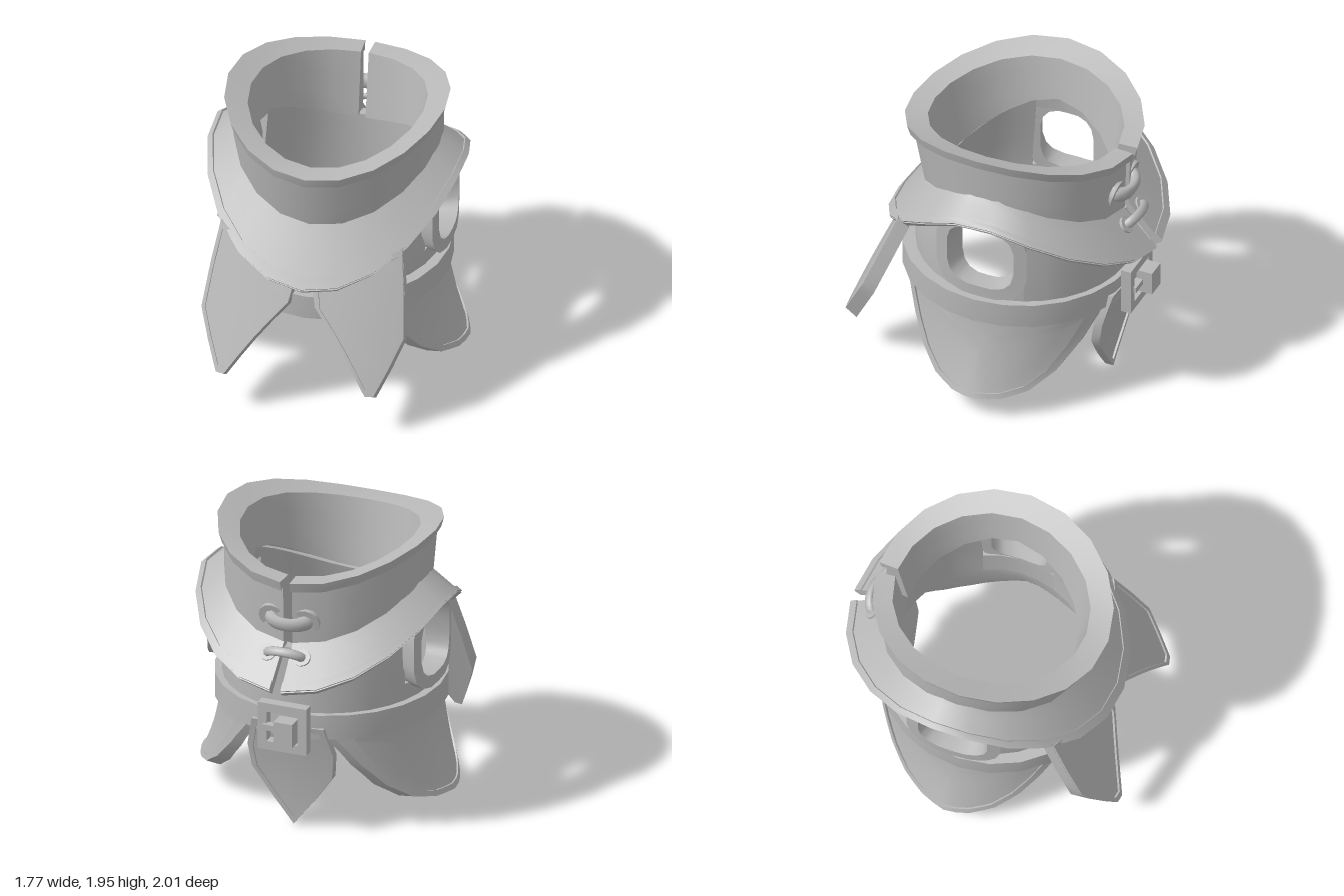
import * as THREE from 'three';
import { toCreasedNormals } from 'three/addons/utils/BufferGeometryUtils.js';

const { lerp } = THREE.MathUtils;
const grey = new THREE.MeshStandardMaterial({ color: 0xb8b8b8 });
grey.name = 'plain grey';

// Solid sheet between an inner (w = 0) and outer (w = 1) surface f(u, v, w)
function shell(f, nu, nv, closed = false) {
  const pos = [];
  const tri = (a, b, c) => {
    const n = b.clone().sub(a).cross(c.clone().sub(a));
    if (n.length() > 1e-9) pos.push(...a.toArray(), ...b.toArray(), ...c.toArray());
  };
  const quad = (a, b, c, d) => { tri(a, b, c); tri(a, c, d); };
  const P = (i, j, w) => new THREE.Vector3(...f(i / nu, j / nv, w));
  for (let i = 0; i < nu; i++) {
    for (let j = 0; j < nv; j++) {
      quad(P(i, j, 1), P(i + 1, j, 1), P(i + 1, j + 1, 1), P(i, j + 1, 1));
      quad(P(i, j, 0), P(i, j + 1, 0), P(i + 1, j + 1, 0), P(i + 1, j, 0));
    }
    quad(P(i, 0, 0), P(i + 1, 0, 0), P(i + 1, 0, 1), P(i, 0, 1));
    quad(P(i, nv, 1), P(i + 1, nv, 1), P(i + 1, nv, 0), P(i, nv, 0));
  }
  if (!closed) {
    for (let j = 0; j < nv; j++) {
      quad(P(0, j, 0), P(0, j, 1), P(0, j + 1, 1), P(0, j + 1, 0));
      quad(P(nu, j, 1), P(nu, j, 0), P(nu, j + 1, 0), P(nu, j + 1, 1));
    }
  }
  // Turn the whole solid outward if it came out inside-out
  let volume = 0;
  const at = k => new THREE.Vector3().fromArray(pos, k);
  for (let k = 0; k < pos.length; k += 9) volume += at(k).dot(at(k + 3).cross(at(k + 6)));
  if (volume < 0) {
    for (let k = 0; k < pos.length; k += 9) {
      for (let c = 0; c < 3; c++) [pos[k + c], pos[k + 3 + c]] = [pos[k + 3 + c], pos[k + c]];
    }
  }
  const geo = new THREE.BufferGeometry();
  geo.setAttribute('position', new THREE.Float32BufferAttribute(pos, 3));
  return toCreasedNormals(geo, 0.6);
}

// Ring of a star-shaped outline, scaled from s0 to s1 about a centre, laid on map(a, b, w)
function panel(outline, centre, s0, s1, steps, map) {
  const n = outline.length;
  return shell((u, v, w) => {
    const t = u * n, i = Math.floor(t + 1e-6), k = t - i;
    const p = outline[i % n], q = outline[(i + 1) % n], s = lerp(s0, s1, v);
    return map(lerp(centre[0], lerp(p[0], q[0], k), s), lerp(centre[1], lerp(p[1], q[1], k), s), w);
  }, n * 2, steps, true);
}

// Oval ring point: half width, front z, back z; angle 0 faces front
const oval = (a, halfX, front, back, y) =>
  [halfX * Math.sin(a), y, (front + back) / 2 + (front - back) / 2 * Math.cos(a)];
const mix = (p, q, t) => p.map((c, i) => lerp(c, q[i], t));
const drop = (a, front, back, power) =>
  (Math.cos(a) > 0 ? front : back) * Math.abs(Math.cos(a)) ** power;

const baseY = a => 1.63 - drop(a, 0.3, 0.29, 1.6);
const topY = a => 1.95 - drop(a, 0.18, 0.16, 2);
const innerTopY = a => topY(a) - 0.06 * Math.sin(a) ** 2;
const hemY = a => 1.515 - drop(a, 0.56, 0.435, 1.5);
const slit = u => Math.PI + 0.045 + u * (2 * Math.PI - 0.09); // leaves the back open

export function createModel() {
  const root = new THREE.Group();
  const add = (name, geo, parent = root) => {
    const m = new THREE.Mesh(geo, grey);
    m.name = name;
    parent.add(m);
    return m;
  };

  // Stand-up collar with a lip sloping inward at the sides
  const collar = (a, v, w) => w
    ? mix(oval(a, 0.68, 0.62, -0.77, baseY(a)), oval(a, 0.69, 0.7, -0.78, topY(a) - 0.05), v)
    : mix(oval(a, 0.52, 0.52, -0.63, baseY(a) - 0.02), oval(a, 0.58, 0.6, -0.7, innerTopY(a)), v);
  add('collar', shell((u, v, w) => collar(slit(u), v, w), 20, 3));
  add('collarLip', shell((u, v, w) => {
    const a = slit(u);
    return w ? oval(a, 0.71 + 0.02 * v, 0.73 + 0.02 * v, -0.81 - 0.02 * v, topY(a) - 0.07 * (1 - v))
      : oval(a, 0.58 + 0.08 * (1 - v), 0.6 + 0.07 * (1 - v), -0.7 - 0.05 * (1 - v),
        innerTopY(a) - 0.03 * (1 - v));
  }, 20, 1));

  // Sloping mantle and its raised hem
  const mantle = (a, v, lift, pull) => {
    const p = mix(oval(a, 0.66, 0.6, -0.75, baseY(a) + 0.012), oval(a, 0.85, 0.855, -1, hemY(a)), v);
    return [p[0] * pull, p[1] + lift, p[2] * pull];
  };
  add('mantle', shell((u, v, w) => mantle(slit(u), v, w ? 0 : -0.035, w ? 1 : 0.955), 22, 3));
  add('mantleHem', shell((u, v, w) =>
    mantle(slit(u), lerp(0.83, 1, v), w ? 0.015 : -0.03, w ? 1.003 : 0.96), 22, 1));

  // Body with openings for the arms
  const body = (name, a0, a1, lo, hi, n) => add(name, shell((u, v, w) => {
    const a = lerp(a0, a1, u), top = baseY(a) - 0.04, y = lerp(lo, hi ?? top, v);
    const k = Math.max(0, (y - 1) / (top - 1)), t = 0.07 * (1 - w);
    return oval(a, lerp(0.7, 0.66, k) - t, lerp(0.67, 0.6, k) - t, -0.76 + t, y);
  }, n, 5));
  body('bodyFront', -1.22, 1.22, 0.7, null, 12);
  body('bodyBack', 1.98, 2 * Math.PI - 1.98, 0.7, null, 12);

  // Belt
  add('belt', shell((u, v, w) => {
    const t = 0.1 * (1 - w);
    return oval(u * 2 * Math.PI, 0.76 - t, 0.76 - t, -0.8 + t, lerp(0.68, 0.85, v));
  }, 24, 1, true));

  // Paired parts
  const armOutline = [];
  const skirtOutline = [[0.52, 0.76], [0.2, 0.76], [-0.08, 0.76], [-0.4, 0.76], [-0.68, 0.76]];
  const bow = t => Math.sign(t) * Math.abs(t) ** 0.62;
  for (let i = 0; i < 16; i++) {
    const a = (i + 0.5) / 16 * 2 * Math.PI;
    armOutline.push([-0.065 + 0.325 * bow(Math.cos(a)), 1.2 + 0.305 * bow(Math.sin(a))]);
  }
  for (let i = 0; i <= 12; i++) {
    const s = -Math.cos(i / 12 * Math.PI);
    skirtOutline.push([-0.08 + 0.64 * s, 0.68 - 0.53 * (1 - Math.abs(s) ** 3.3)]);
  }
  const lapelOutline = [[0.06, 0.98], [0.33, 1.08], [0.61, 1.22], [0.65, 0.95], [0.68, 0.67],
    [0.61, 0.49], [0.53, 0.31], [0.475, 0.31], [0.39, 0.44], [0.3, 0.57], [0.2, 0.7], [0.09, 0.83]];

  for (const [side, s] of [['left', 1], ['right', -1]]) {
    const aRange = s > 0 ? [1.22, 1.98] : [-1.98, -1.22];
    body(side + 'UnderArm', ...aRange, 0.7, 0.965, 4);
    body(side + 'Shoulder', ...aRange, 1.46, null, 4);

    // Thick frame whose opening narrows inward
    add(side + 'ArmholeFrame', panel(armOutline, [-0.065, 1.2], 1, 0.74, 1, (z, y, w) => {
      const d = z + 0.065;
      return [s * (0.77 - 0.45 * d * d - 0.14 * (1 - w)), y, -0.065 + d * (0.8 + 0.2 * w)];
    }));

    // Side skirt flaring to a ridge in the middle
    const skirt = rim => (z, y, w) => {
      const k = Math.max(0, (0.7 - y) / 0.55), e = Math.abs(z + 0.06) / 0.66;
      const x = 0.72 * Math.sqrt(1 - ((z + 0.02) / 0.77) ** 2) + 0.16 * k ** 1.5 * (1 - 0.75 * e);
      return [s * (x + (w ? rim : -0.05 - 0.04 * k)), y - 0.012 * k * (1 - w), z];
    };
    add(side + 'Skirt', panel(skirtOutline, [-0.08, 0.5], 1, 0, 4, skirt(0)));
    add(side + 'SkirtRim', panel(skirtOutline, [-0.08, 0.5], 1, 0.9, 1, skirt(0.012)));

    // Pointed front lapel, its thickness square to the slope
    const lapel = rim => (x, y, w) => [s * x, y - 0.055 * (1 - w),
      0.86 - 0.21 * x * x + 0.43 * (0.75 - y) + (w ? rim : -0.075)];
    add(side + 'Lapel', panel(lapelOutline, [0.43, 0.74], 1, 0, 3, lapel(-0.014)));
    add(side + 'LapelRim', panel(lapelOutline, [0.43, 0.74], 1, 0.9, 1, lapel(0.003)));
  }

  // Pointed back flap
  const flapOutline = [[0, 0], [0.14, 0.18], [0.28, 0.38], [0.3, 0.55], [0.25, 0.76], [0, 0.76],
    [-0.25, 0.76], [-0.3, 0.55], [-0.28, 0.38], [-0.14, 0.18]];
  const flap = rim => (x, y, w) =>
    [x, y, -0.66 - 0.12 * (y / 0.76) ** 1.6 + 0.15 * x * x + (w ? -rim : 0.045)];
  add('backFlap', panel(flapOutline, [0, 0.42], 1, 0, 3, flap(0)));
  add('backFlapRim', panel(flapOutline, [0, 0.42], 1, 0.88, 1, flap(0.014)));

  // Buckle with belt end and prong
  const buckle = new THREE.Group();
  buckle.name = 'buckle';
  buckle.position.set(0, 0.765, -0.84);
  root.add(buckle);
  const box = (name, w, h, d, x, y, z) =>
    add(name, new THREE.BoxGeometry(w, h, d), buckle).position.set(x, y, z);
  for (const k of [-1, 1]) {
    box('buckleBar', 0.34, 0.06, 0.07, 0, k * 0.135, 0);
    box('buckleSide', 0.06, 0.33, 0.07, k * 0.14, 0, 0);
  }
  box('beltEnd', 0.13, 0.165, 0.11, -0.04, 0, -0.065);
  box('prong', 0.14, 0.04, 0.05, 0.06, 0, -0.03);

  // Loops bridging the back opening
  const loop = (name, y, z, tilt, radius, tube) => {
    const g = new THREE.Group();
    g.name = name;
    g.position.set(0, y, z);
    g.rotation.x = tilt;
    root.add(g);
    const arc = new THREE.TorusGeometry(radius, tube, 8, 12, Math.PI);
    arc.scale(1, 0.6, 1);
    arc.rotateX(-Math.PI / 2);
    add('loopArc', arc, g);
    for (const k of [-1, 1]) {
      const eyelet = new THREE.CylinderGeometry(tube * 1.8, tube * 1.8, 0.03, 12);
      eyelet.rotateX(Math.PI / 2);
      add('eyelet', toCreasedNormals(eyelet, 0.6), g).position.set(k * radius, 0, 0);
    }
  };
  loop('collarLoop', 1.5, -0.74, -0.25, 0.12, 0.052);
  loop('mantleLoop', 1.27, -0.82, 0.7, 0.12, 0.032);
  return root;
}
